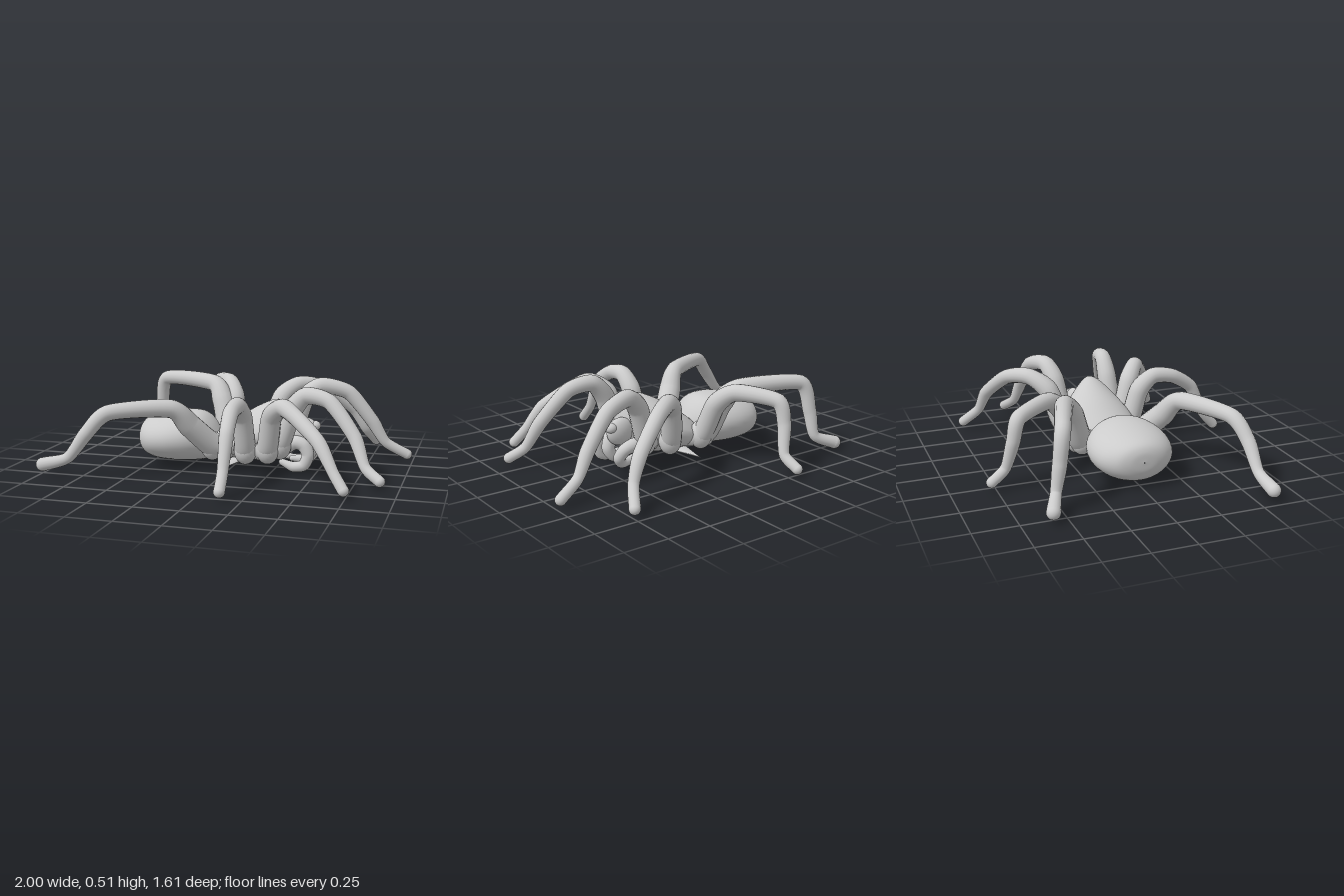
import * as THREE from 'three';

const material = new THREE.MeshStandardMaterial({ color: 0xcccccc, roughness: 0.8 });

function add(group, name, geometry) {
  const mesh = new THREE.Mesh(geometry, material);
  mesh.name = name;
  group.add(mesh);
  return mesh;
}

function ball(group, name, center, rx, ry = rx, rz = rx) {
  const mesh = add(group, name, new THREE.SphereGeometry(1, 24, 16));
  mesh.position.set(...center);
  mesh.scale.set(rx, ry, rz);
}

// Limb with swelling thickness and a round tip; each point is [x, y, z, radius]
function limb(group, name, points, segments = 90) {
  const curve = new THREE.CatmullRomCurve3(
    points.map(p => new THREE.Vector3(p[0], p[1], p[2])), false, 'catmullrom', 0.35);
  const geo = new THREE.TubeGeometry(curve, segments, 1, 16, false);
  const pos = geo.attributes.position, normal = geo.attributes.normal;
  for (let i = 0; i <= segments; i++) {
    const u = i / segments;
    const t = curve.getUtoTmapping(u) * (points.length - 1);
    const k = Math.min(Math.floor(t), points.length - 2);
    const r = THREE.MathUtils.lerp(points[k][3], points[k + 1][3], THREE.MathUtils.smoothstep(t - k, 0, 1));
    const c = curve.getPointAt(u);
    for (let j = 0; j <= 16; j++) {
      const n = i * 17 + j;
      pos.setXYZ(n, c.x + r * normal.getX(n), c.y + r * normal.getY(n), c.z + r * normal.getZ(n));
    }
  }
  add(group, name, geo);
  const [x, y, z, r] = points[points.length - 1];
  ball(group, name + 'Tip', [x, y, z], r);
}

// Body skin along x; each section is [x, half width, bottom, top, centre z, narrowing above]
function loft(sections) {
  const rings = 56, sides = 40, verts = [], index = [];
  const curve = (...f) => new THREE.CatmullRomCurve3(sections.map(s => new THREE.Vector3(...f.map(k => s[k]))), false, 'catmullrom');
  const widths = curve(0, 1, 4), heights = curve(2, 3, 5);
  for (let i = 0; i <= rings; i++) {
    const a = widths.getPoint(i / rings), b = heights.getPoint(i / rings);
    const mid = (b.x + b.y) / 2, half = (b.y - b.x) / 2;
    for (let j = 0; j < sides; j++) {
      const t = j / sides * Math.PI * 2, sn = Math.sin(t);
      verts.push(a.x, mid + half * sn, a.z + a.y * Math.cos(t) * (1 - b.z * Math.max(0, sn)));
      if (i < rings) {
        const p = i * sides + j, q = i * sides + (j + 1) % sides;
        index.push(p, p + sides, q, q, p + sides, q + sides);
      }
    }
  }
  const geo = new THREE.BufferGeometry();
  geo.setAttribute('position', new THREE.Float32BufferAttribute(verts, 3));
  geo.setIndex(index.reverse());
  geo.computeVertexNormals();
  // Wind the faces outwards
  if (geo.attributes.normal.getY(28 * sides + sides / 4) < 0) {
    geo.setIndex(index.reverse());
    geo.computeVertexNormals();
  }
  return geo;
}

// Leg centre lines from hip to foot
const legs = {
  leftLeg1: [[.2, .13, .08], [.3, .18, .14], [.37, .37, .14], [.45, .46, .145], [.59, .435, .17], [.74, .26, .23], [.81, .11, .29], [.895, .05, .335]],
  leftLeg2: [[.16, .12, .1], [.24, .16, .19], [.28, .35, .25], [.36, .42, .32], [.46, .37, .385], [.59, .27, .47], [.68, .13, .53], [.74, .05, .57]],
  leftLeg3: [[.08, .12, .1], [.11, .15, .19], [.11, .34, .25], [.11, .42, .34], [.11, .405, .47], [.125, .32, .6], [.13, .14, .69], [.135, .05, .77]],
  leftLeg4: [[.0, .12, .1], [-.09, .16, .18], [-.19, .28, .27], [-.28, .385, .34], [-.585, .375, .505], [-.7, .26, .555], [-.81, .12, .565], [-.96, .075, .575]],
  rightLeg1: [[.2, .13, -.08], [.3, .18, -.17], [.37, .38, -.2], [.46, .46, -.23], [.62, .42, -.28], [.76, .25, -.31], [.84, .12, -.335], [.965, .045, -.37]],
  rightLeg2: [[.13, .12, -.1], [.16, .17, -.22], [.21, .37, -.29], [.3, .44, -.38], [.44, .41, -.48], [.61, .27, -.57], [.68, .14, -.61], [.735, .05, -.7]],
  rightLeg3: [[.02, .12, -.1], [-.06, .16, -.22], [-.09, .35, -.31], [-.15, .43, -.41], [-.285, .405, -.61], [-.3, .28, -.65], [-.27, .12, -.69], [-.29, .055, -.775]],
  rightLeg4: [[-.02, .12, -.08], [-.1, .16, -.2], [-.16, .34, -.27], [-.24, .43, -.34], [-.59, .43, -.465], [-.64, .26, -.5], [-.66, .11, -.53], [-.775, .06, -.58]],
};
const legRadii = [.055, .06, .058, .049, .044, .04, .031, .031];
const backRadii = [.06, .07, .067, .052, .045, .041, .032, .039];

export function createModel() {
  const spider = new THREE.Group();
  spider.name = 'spider';

  // Large rear abdomen, blunt at both ends
  add(spider, 'abdomen', loft([
    [-.577, .002, .165, .169, 0, 0], [-.57, .085, .105, .225, 0, 0], [-.54, .155, .055, .265, 0, 0],
    [-.47, .212, .028, .292, 0, 0], [-.37, .236, .02, .313, 0, 0], [-.27, .225, .022, .322, 0, 0],
    [-.19, .188, .03, .31, 0, 0], [-.13, .13, .045, .26, 0, 0], [-.08, .06, .06, .18, 0, 0],
  ]));

  // Front body with a narrow raised head
  add(spider, 'carapace', loft([
    [-.15, .05, .06, .17, 0, 0], [-.1, .14, .05, .205, 0, .1], [-.03, .195, .05, .255, -.015, .2],
    [.07, .215, .05, .325, -.02, .25], [.17, .2, .05, .38, -.02, .3], [.25, .16, .06, .408, -.01, .35],
    [.32, .115, .09, .395, 0, .4], [.37, .07, .14, .35, 0, .3], [.395, .002, .23, .25, 0, 0],
  ]));

  // Eight legs with hip lumps
  for (const [name, path] of Object.entries(legs)) {
    const leg = new THREE.Group();
    leg.name = name;
    const radii = name.endsWith('4') ? backRadii : legRadii;
    limb(leg, 'legTube', path.map((p, i) => [...p, radii[i]]));
    ball(leg, 'hip', [path[1][0], path[1][1] - .01, path[1][2] * .95], .066, .085, .066);
    spider.add(leg);
  }

  // Jaws, eye bumps and thin spikes under the body
  for (const side of [-1, 1]) {
    ball(spider, 'jaw', [.4, .22, side * .055 - .01], .085, .08, .046);
    ball(spider, 'eyeBump', [.46, .25, side * .06 - .01], .035, .03, .032);
    const spike = add(spider, 'sideSpike', new THREE.ConeGeometry(.05, .2, 12));
    spike.scale.z = .3;
    spike.rotation.x = side * Math.PI / 2;
    spike.position.set(.03, .06, side * .205 - .02);
  }

  // Curled feelers, the right one sweeping outwards, and the fang between them
  limb(spider, 'leftFeeler', [
    [.3, .13, .08, .042], [.38, .18, .09, .04], [.43, .165, .09, .04], [.455, .11, .09, .036],
    [.43, .05, .09, .034], [.37, .035, .085, .03], [.3, .055, .07, .02],
  ], 60);
  limb(spider, 'rightFeeler', [
    [.3, .13, -.13, .042], [.37, .16, -.16, .04], [.43, .14, -.155, .036], [.45, .09, -.13, .034],
    [.42, .05, -.105, .032], [.36, .045, -.09, .026], [.3, .06, -.07, .018],
  ], 60);
  limb(spider, 'fang', [
    [.36, .2, -.02, .04], [.43, .18, -.02, .042], [.452, .12, -.02, .038], [.42, .065, -.02, .032], [.34, .06, -.02, .018],
  ], 50);

  return spider;
}
